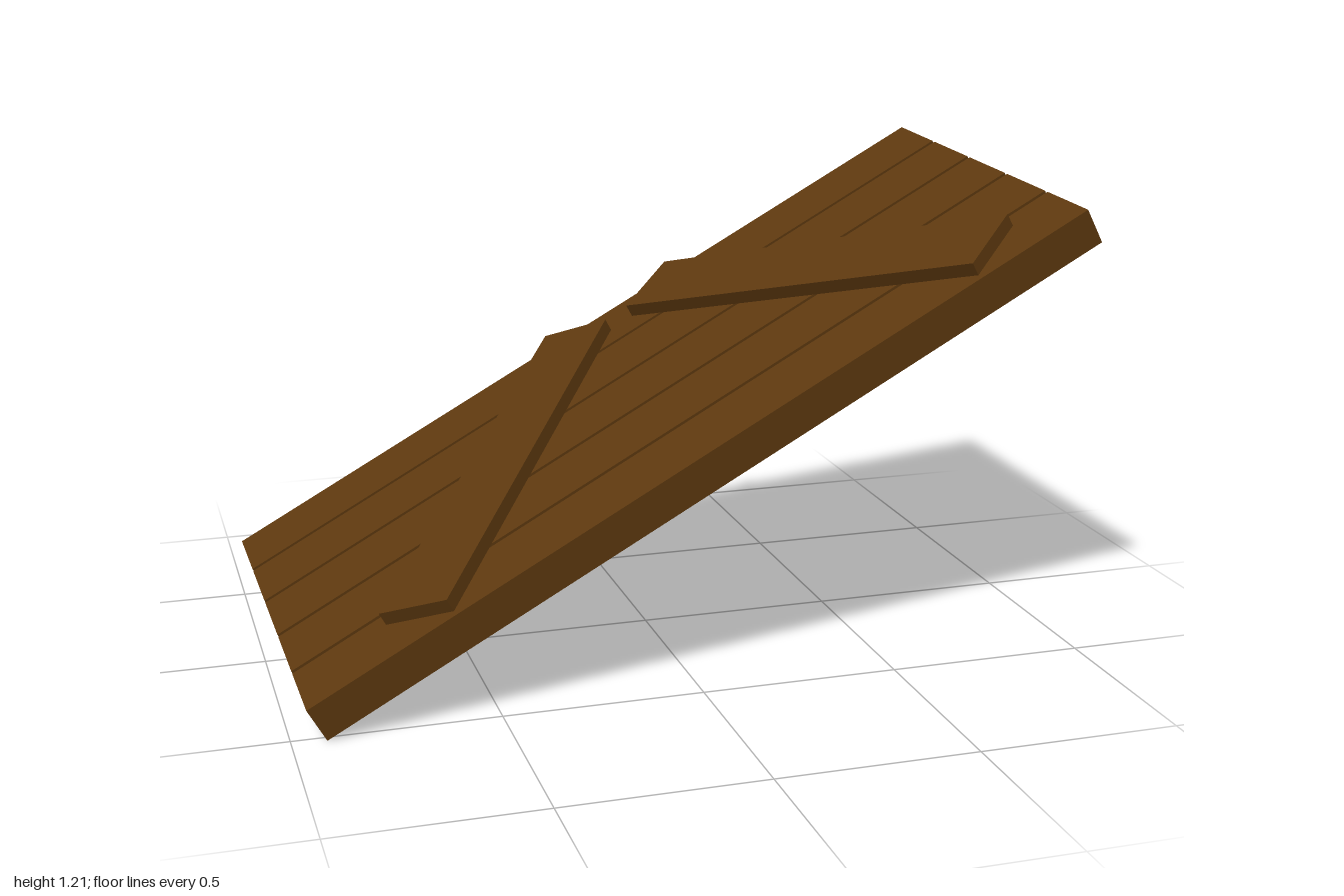
import * as THREE from 'three';

export function createModel() {
  const model = new THREE.Group();
  model.name = 'plankPanel';

  const wood = new THREE.MeshStandardMaterial({ color: 0x5e390f });
  wood.name = 'dark brown wood';

  // Leaning panel: a slight roll about its length, then a steep pitch
  const panel = new THREE.Group();
  panel.name = 'panel';
  panel.rotation.set(THREE.MathUtils.degToRad(4), 0, THREE.MathUtils.degToRad(28.97), 'ZYX');
  panel.position.y = 0.603;
  model.add(panel);

  const thickness = 0.095;
  const board = (name, length, height, width, x, y, z) => {
    const mesh = new THREE.Mesh(new THREE.BoxGeometry(length, height, width), wood);
    mesh.name = name;
    mesh.position.set(x, y, z);
    panel.add(mesh);
    return mesh;
  };

  // Five long planks with narrow gaps
  for (let i = 0; i < 5; i++) {
    board(`plank${i + 1}`, 2.19, thickness, 0.199, 0, 0, (i - 2) * 0.2125);
  }

  // Two diagonal braces lying on the upper face
  const braceHeight = 0.035;
  const brace = (name, length, width, x, dx, dz) => {
    const mesh = board(name, length, braceHeight, width, x, (thickness + braceHeight) / 2, -0.014);
    mesh.rotation.y = -Math.atan2(dz, dx);
  };
  brace('lowerBrace', 1.18, 0.2, -0.391, -0.756, 0.906);
  brace('upperBrace', 1.12, 0.212, 0.546, 0.652, 0.911);

  return model;
}
